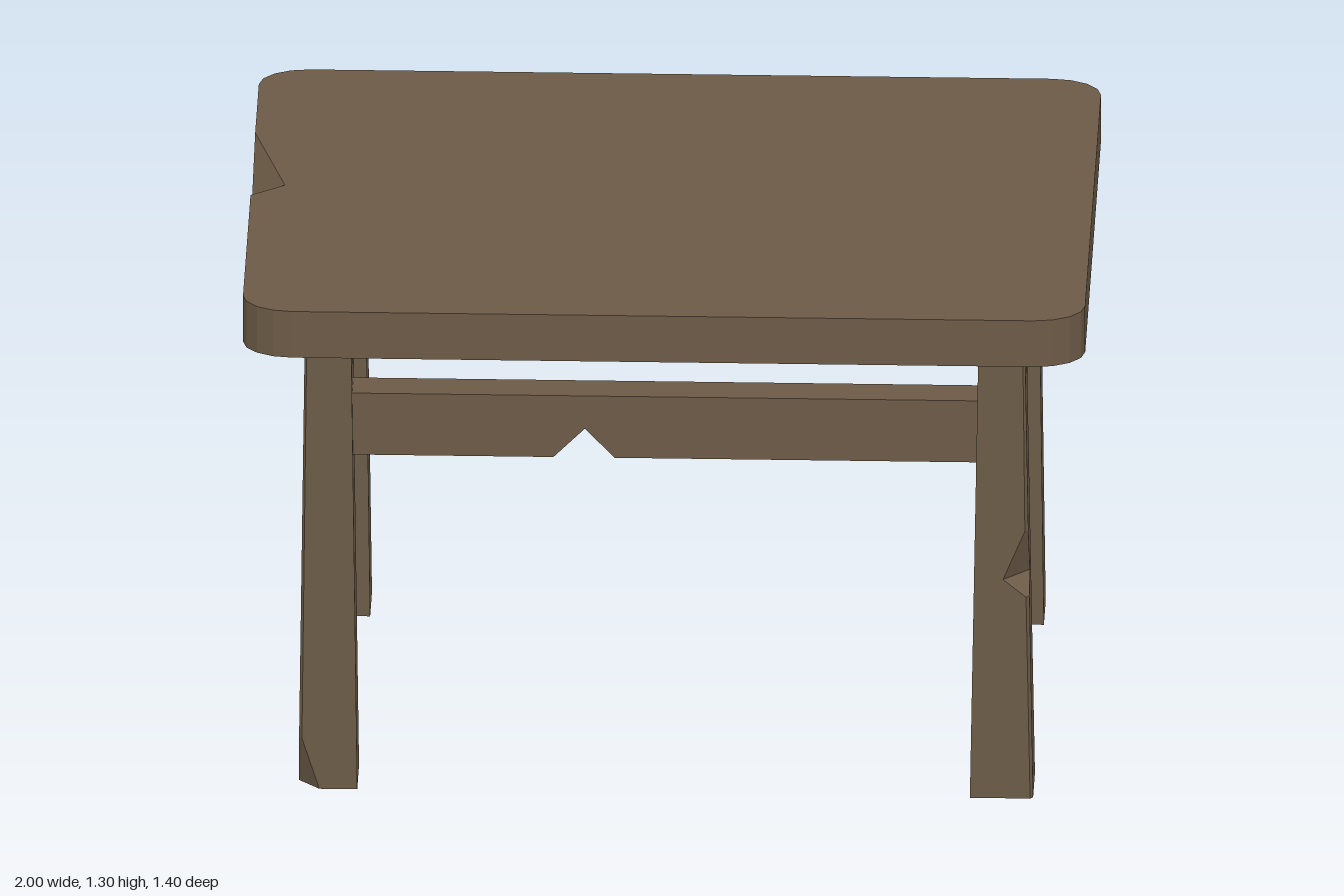
import * as THREE from 'three';

const wood = new THREE.MeshStandardMaterial({ color: 0x6b5a46, flatShading: true });

// Solid skinned over stacked rings of equal point count, capped at both ends
function loft(rings) {
  const flat = r => r.map(p => new THREE.Vector2(p.x, -p.z));
  if (THREE.ShapeUtils.isClockWise(flat(rings[0]))) rings = rings.map(r => [...r].reverse());
  const n = rings[0].length;
  const verts = [];
  const tri = (...ps) => ps.forEach(p => verts.push(p.x, p.y, p.z));
  for (let k = 0; k < rings.length - 1; k++) {
    for (let i = 0; i < n; i++) {
      const j = (i + 1) % n;
      const a = rings[k][i], b = rings[k][j], c = rings[k + 1][j], d = rings[k + 1][i];
      // split each quad along its shorter diagonal
      if (a.distanceTo(c) < b.distanceTo(d)) { tri(a, b, c); tri(a, c, d); }
      else { tri(a, b, d); tri(b, c, d); }
    }
  }
  const bottom = rings[0], top = rings[rings.length - 1];
  for (const [a, b, c] of THREE.ShapeUtils.triangulateShape(flat(bottom), [])) tri(bottom[a], bottom[c], bottom[b]);
  for (const [a, b, c] of THREE.ShapeUtils.triangulateShape(flat(top), [])) tri(top[a], top[b], top[c]);
  const geo = new THREE.BufferGeometry();
  geo.setAttribute('position', new THREE.Float32BufferAttribute(verts, 3));
  geo.computeVertexNormals();
  return geo;
}

// Tapered square leg; cuts lists [height, size of the cut on the outer corner]
function legGeometry(sx, sz, base, cuts) {
  return loft(cuts.map(([y, c]) => {
    const h = THREE.MathUtils.lerp(base, 0.055, y / 1.18);
    return [[-h, -h], [h, -h], [h, h - c], [h - c, h], [-h, h]]
      .map(([x, z]) => new THREE.Vector3(sx * (0.8 + x), y, sz * (0.5 + z)));
  }));
}

// Rounded slab with a chip broken out of the upper right-hand edge
function topGeometry() {
  const outline = [];
  const steps = 4;
  for (const [sx, sz, start] of [[1, 1, 0], [-1, 1, 1], [-1, -1, 2], [1, -1, 3]]) {
    for (let i = 0; i <= steps; i++) {
      const a = (start + i / steps) * Math.PI / 2;
      outline.push([sx * 0.88 + 0.12 * Math.cos(a), sz * 0.61 + 0.09 * Math.sin(a)]);
    }
    if (sx < 0 && sz > 0) outline.push([-1, 0.03], [-1, -0.03], [-1, -0.33]);
  }
  const chip = 2 * (steps + 1) - steps + steps - steps + 1; // placeholder index, refined below
  const mid = outline.findIndex(([x, z]) => x === -1 && z === -0.03);
  const ring = y => outline.map(([x, z]) => new THREE.Vector3(x, y, z));
  const upper = ring(1.3);
  upper[mid >= 0 ? mid : chip].x = -0.92;
  return loft([ring(1.18), ring(1.22), upper]);
}

// Rail with an optional triangular nick in its lower edge
function railGeometry(length, nick) {
  const h = length / 2, t = 0.09;
  const s = new THREE.Shape();
  s.moveTo(-h, 0.86);
  if (nick) { s.lineTo(-0.265, 0.86); s.lineTo(-0.19, 0.935); s.lineTo(-0.12, 0.86); }
  s.lineTo(h, 0.86);
  s.lineTo(h, 1.02);
  s.lineTo(-h, 1.02);
  return new THREE.ExtrudeGeometry(s, { depth: t, bevelEnabled: false }).translate(0, 0, -t / 2);
}

export function createModel() {
  const group = new THREE.Group();
  const add = (name, geo) => {
    const mesh = new THREE.Mesh(geo, wood);
    mesh.name = name;
    group.add(mesh);
    return mesh;
  };

  add('tableTop', topGeometry());

  // Legs: one gouged halfway up, one worn at the foot
  const plain = [[0, 0.002], [1.18, 0.002]];
  add('frontLeftLeg', legGeometry(1, 1, 0.075,
    [[0, 0.007], [0.52, 0.008], [0.565, 0.062], [0.69, 0.008], [1.18, 0.005]]));
  add('frontRightLeg', legGeometry(-1, 1, 0.07, [[0, 0.05], [0.13, 0.007], [1.18, 0.005]]));
  add('backLeftLeg', legGeometry(1, -1, 0.07, plain));
  add('backRightLeg', legGeometry(-1, -1, 0.07, plain));

  // Rails between the legs
  add('frontRail', railGeometry(1.5, true)).position.z = 0.5;
  add('backRail', railGeometry(1.5, false)).position.z = -0.5;
  for (const [name, x] of [['leftRail', 0.8], ['rightRail', -0.8]]) {
    const rail = add(name, railGeometry(0.9, false));
    rail.rotation.y = Math.PI / 2;
    rail.position.x = x;
  }
  return group;
}
